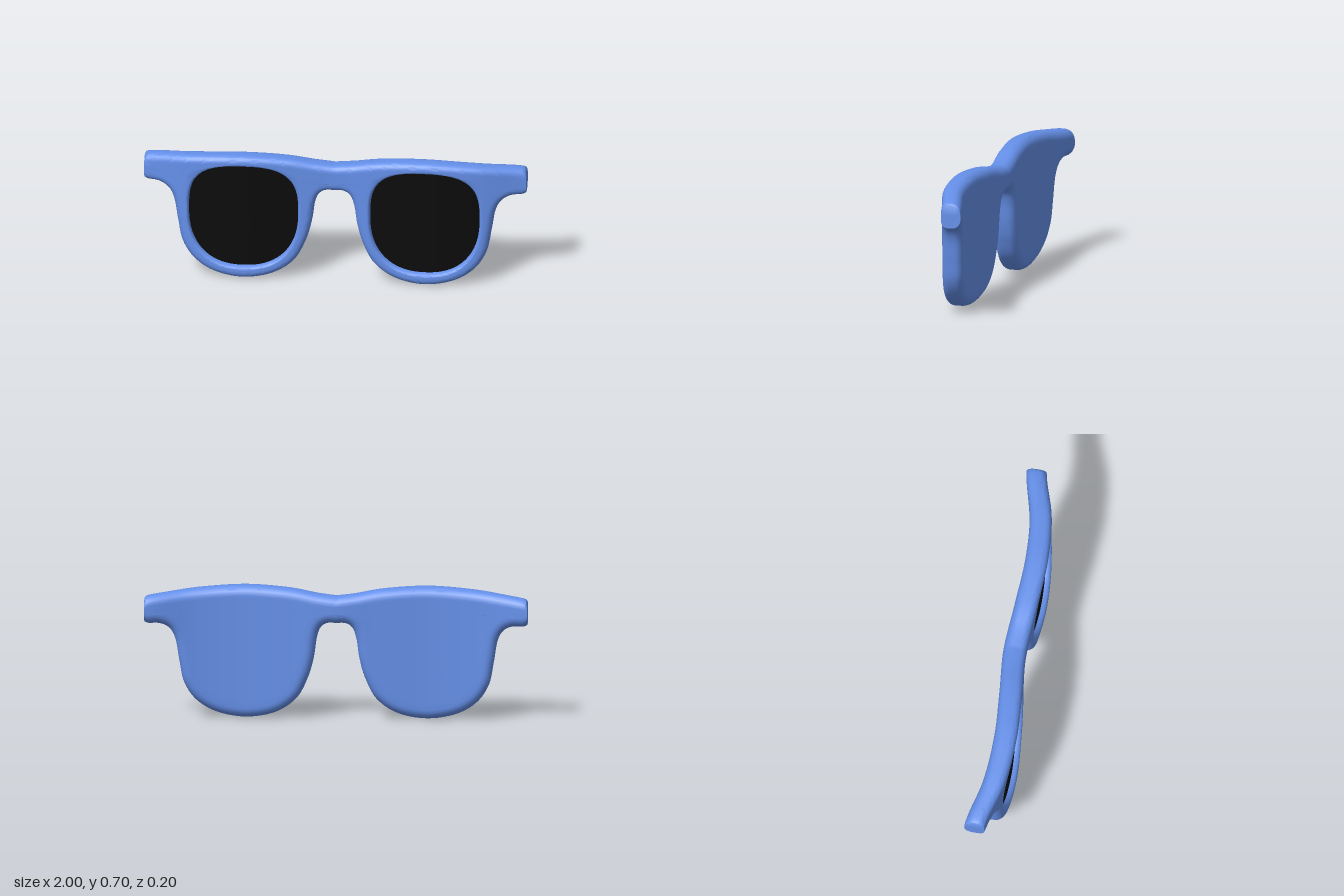
import * as THREE from 'three';
import { mergeGeometries, toCreasedNormals } from 'three/addons/utils/BufferGeometryUtils.js';

const V = (x, y) => new THREE.Vector2(x, y);
const spline = (pts) => new THREE.SplineCurve(pts.map(([x, y]) => V(x, y)));

// Wavy wrap of the whole front, seen from above, and its half thickness
const wave = spline([-0.045, 0.018, 0.038, 0.024, 0.005, 0.024, 0.038, 0.018, -0.045].map((z, i) => [i / 4 - 1, z]));
const midZ = (x) => wave.getPoint(THREE.MathUtils.clamp((x + 1) / 2, 0, 1)).y;
const half = (x) => 0.06 - 0.007 * x ** 4;

const FRONT_R = 0.035, BACK_R = 0.05, LIP = 0.018, RECESS = 0.03;
const CENTER = V(0.47, 0.575); // every edge of one half can be seen from here

// Lens opening: squarer above, rounder below
function inLens(p) {
  const dx = Math.abs(p.x - 0.475) / 0.286, dy = p.y - 0.38;
  const n = dy > 0 ? 2.9 : 2.4;
  return dx ** n + Math.abs(dy / (dy > 0 ? 0.26 : 0.31)) ** n < 1;
}
function lensEdge(dir) {
  let lo = 0, hi = 1;
  for (let i = 0; i < 24; i++) {
    const mid = (lo + hi) / 2;
    if (inLens(CENTER.clone().addScaledVector(dir, mid))) lo = mid; else hi = mid;
  }
  return CENTER.clone().addScaledVector(dir, lo);
}

// Outline of one half, with the inward direction for the rounded edge
function outline() {
  const lower = spline([[0, 0.508], [0.05, 0.507], [0.085, 0.48], [0.105, 0.42], [0.12, 0.32], [0.15, 0.215],
    [0.21, 0.105], [0.32, 0.03], [0.47, 0.002], [0.62, 0.026], [0.73, 0.09], [0.795, 0.185], [0.82, 0.3],
    [0.84, 0.415], [0.87, 0.475], [0.92, 0.503], [0.98, 0.506], [1, 0.515]]);
  const upper = spline([[1, 0.635], [0.98, 0.65], [0.85, 0.668], [0.7, 0.685], [0.47, 0.698], [0.25, 0.685],
    [0.1, 0.66], [0, 0.648]]);
  const cols = [];
  const edge = (curve, count) => {
    const pts = curve.getSpacedPoints(count);
    pts.forEach((p, i) => {
      const t = pts[Math.min(i + 1, count)].clone().sub(pts[Math.max(i - 1, 0)]);
      const k = p.x < 0.001 ? 0 : 1 - THREE.MathUtils.smoothstep(p.x, 0.92, 0.985);
      cols.push({ p, n: V(-t.y * k, t.x).normalize() });
    });
  };
  // Straight ends: the hinge face at x = 1 and the joint at x = 0
  const straight = (x, y0, y1, joint) => {
    for (let i = 0; i <= 8; i++) cols.push({ p: V(x, y0 + (y1 - y0) * i / 8), n: V(0, 0), joint });
  };
  edge(lower, 120);
  straight(1, 0.565, 0.585, false);
  edge(upper, 80);
  straight(0, 0.598, 0.558, true);
  return cols;
}

// Skins a closed loop of columns; each column is a list of [x, y, z]
function skin(cols, side, skip = () => false) {
  const pos = [];
  const tri = (a, b, c) => {
    const [p, q, r] = [a, b, c].map((v) => new THREE.Vector3(v[0] * side, v[1], v[2]));
    if (q.clone().sub(p).cross(r.clone().sub(p)).length() < 1e-10) return;
    for (const v of side > 0 ? [p, q, r] : [p, r, q]) pos.push(v.x, v.y, v.z);
  };
  cols.forEach((A, i) => {
    const k = (i + 1) % cols.length, B = cols[k];
    for (let j = 0; j < A.length - 1; j++) {
      if (skip(i, k, j)) continue;
      tri(A[j], A[j + 1], B[j + 1]);
      tri(A[j], B[j + 1], B[j]);
    }
  });
  const g = new THREE.BufferGeometry();
  g.setAttribute('position', new THREE.Float32BufferAttribute(pos, 3));
  return g;
}

export function createModel() {
  const group = new THREE.Group();
  const frameMat = new THREE.MeshStandardMaterial({ color: 0x6590ea });
  const lensMat = new THREE.MeshStandardMaterial({ color: 0x0a0a0a });
  const cols = outline();
  const LIP_N = 4, RIM_N = 6, BEVEL_N = 6, BACK_N = 14;
  const wallStart = LIP_N + RIM_N, wallEnd = wallStart + 2 * BEVEL_N + 1;

  // Frame cross-sections: lens lip, front rim, rounded edge, closed back
  const frameCols = cols.map(({ p, n }) => {
    const col = [];
    const add = (q, dz, sign = 1) => col.push([q.x, q.y, midZ(q.x) + sign * (half(q.x) - dz)]);
    const inset = (d) => p.clone().addScaledVector(n, d);
    const front = inset(FRONT_R), back = inset(BACK_R);
    const dir = front.clone().sub(CENTER);
    const lens = lensEdge(dir);
    dir.normalize();
    for (let i = 0; i <= LIP_N; i++) {
      const a = i / LIP_N * Math.PI / 2;
      add(lens.clone().addScaledVector(dir, LIP * (1 - Math.cos(a))), RECESS * (1 - Math.sin(a)));
    }
    const lip = lens.clone().addScaledVector(dir, LIP);
    for (let i = 1; i < RIM_N; i++) add(lip.clone().lerp(front, i / RIM_N), 0);
    for (let i = 0; i <= BEVEL_N; i++) {
      const a = i / BEVEL_N * Math.PI / 2;
      add(inset(FRONT_R * (1 - Math.sin(a))), FRONT_R * (1 - Math.cos(a)));
    }
    for (let i = 0; i <= BEVEL_N; i++) {
      const a = i / BEVEL_N * Math.PI / 2;
      add(inset(BACK_R * (1 - Math.cos(a))), BACK_R * (1 - Math.sin(a)), -1);
    }
    for (let i = 1; i <= BACK_N; i++) add(back.clone().lerp(CENTER, i / BACK_N), 0, -1);
    return col;
  });
  // No wall where the two halves meet
  const atJoint = (c) => c.p.x < 1e-6;
  const skip = (i, k, j) => atJoint(cols[i]) && atJoint(cols[k]) && j >= wallStart && j < wallEnd;
  const frameGeo = mergeGeometries([1, -1].map((s) => skin(frameCols, s, skip)));
  const frame = new THREE.Mesh(toCreasedNormals(frameGeo, 0.7), frameMat);
  frame.name = 'frame';
  group.add(frame);

  // Dark lenses set into the front
  const lensCols = frameCols.map((col) => {
    const rim = V(col[0][0], col[0][1]);
    return Array.from({ length: 11 }, (_, i) => {
      const q = CENTER.clone().lerp(rim, i / 10);
      return [q.x, q.y, midZ(q.x) + half(q.x) - RECESS];
    });
  });
  for (const [side, name] of [[1, 'leftLens'], [-1, 'rightLens']]) {
    const lens = new THREE.Mesh(toCreasedNormals(skin(lensCols, side), 0.7), lensMat);
    lens.name = name;
    group.add(lens);
  }
  return group;
}
